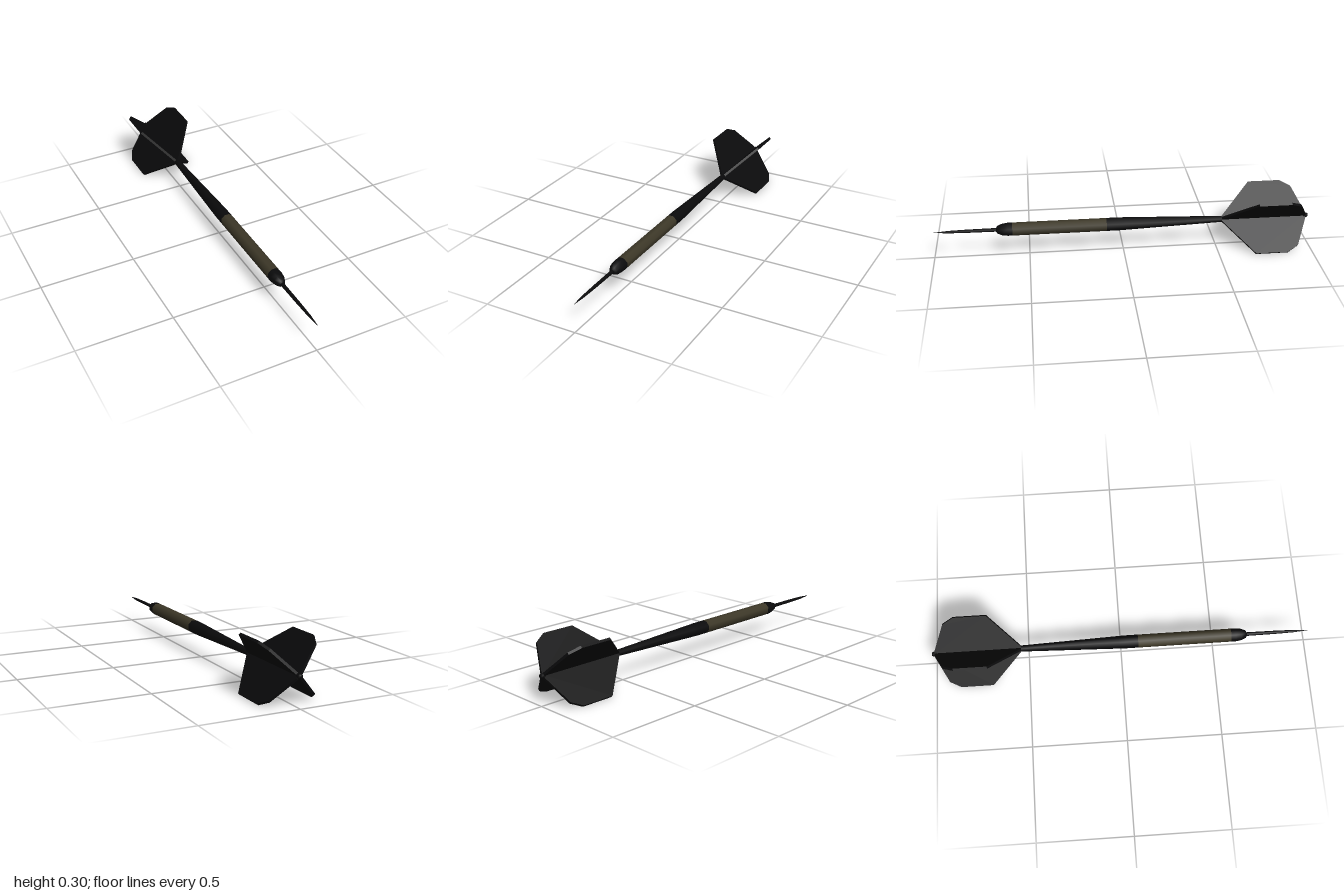
import * as THREE from 'three';

const AXIS_HEIGHT = 0.15;
const SIDES = 8;

const black = new THREE.MeshStandardMaterial({ color: 0x0a0a0b });
const olive = new THREE.MeshStandardMaterial({ color: 0x3d3828 });

// Eight-sided turned part along z; the profile lists [half width, z] from back to front
function turned(name, profile, material) {
  const toCorner = 1 / Math.cos(Math.PI / SIDES);
  const points = profile.map(([r, z]) => new THREE.Vector2(r * toCorner, z));
  const geometry = new THREE.LatheGeometry(points, SIDES, Math.PI / SIDES);
  geometry.rotateX(Math.PI / 2);
  const mesh = new THREE.Mesh(geometry, material);
  mesh.name = name;
  return mesh;
}

// Thin flight blade, outlined as [distance from axis, z]
function bladeGeometry() {
  const outline = [
    [0, -0.53], [0.015, -0.53], [0.203, -0.695], [0.203, -0.868],
    [0.168, -0.925], [0.018, -0.985], [0, -0.985],
  ];
  const shape = new THREE.Shape(outline.map(([r, z]) => new THREE.Vector2(r, z)));
  const thickness = 0.013;
  const geometry = new THREE.ExtrudeGeometry(shape, { depth: thickness, bevelEnabled: false });
  geometry.translate(0, 0, -thickness / 2);
  geometry.rotateX(Math.PI / 2);
  return geometry;
}

export function createModel() {
  const dart = new THREE.Group();
  dart.name = 'dart';

  const body = new THREE.Group();
  body.name = 'body';
  body.position.y = AXIS_HEIGHT;
  dart.add(body);

  // Needle, nose and grip
  body.add(
    turned('needle', [[0.009, 0.66], [0.008, 0.82], [0.006, 0.92], [0, 1]], black),
    turned('nose', [[0.032, 0.585], [0.032, 0.61], [0.028, 0.64], [0.018, 0.665], [0, 0.675]], black),
    turned('barrel', [[0.032, 0.09], [0.032, 0.585]], olive),
  );

  // Tapering shaft, the core between the blades and the end knob
  body.add(
    turned('shaft', [[0, -0.53], [0.015, -0.53], [0.031, -0.01], [0.032, 0.02], [0.032, 0.09]], black),
    turned('flightCore', [[0.008, -0.985], [0.008, -0.53]], black),
    turned('endKnob', [[0, -1], [0.008, -1], [0.012, -0.992], [0.012, -0.975], [0, -0.965]], black),
  );

  // Four blades set on the diagonals
  const flight = new THREE.Group();
  flight.name = 'flight';
  const blade = bladeGeometry();
  for (let i = 0; i < 4; i++) {
    const mesh = new THREE.Mesh(blade, black);
    mesh.name = `blade${i + 1}`;
    mesh.rotation.z = Math.PI / 4 + (i * Math.PI) / 2;
    flight.add(mesh);
  }
  body.add(flight);

  return dart;
}
